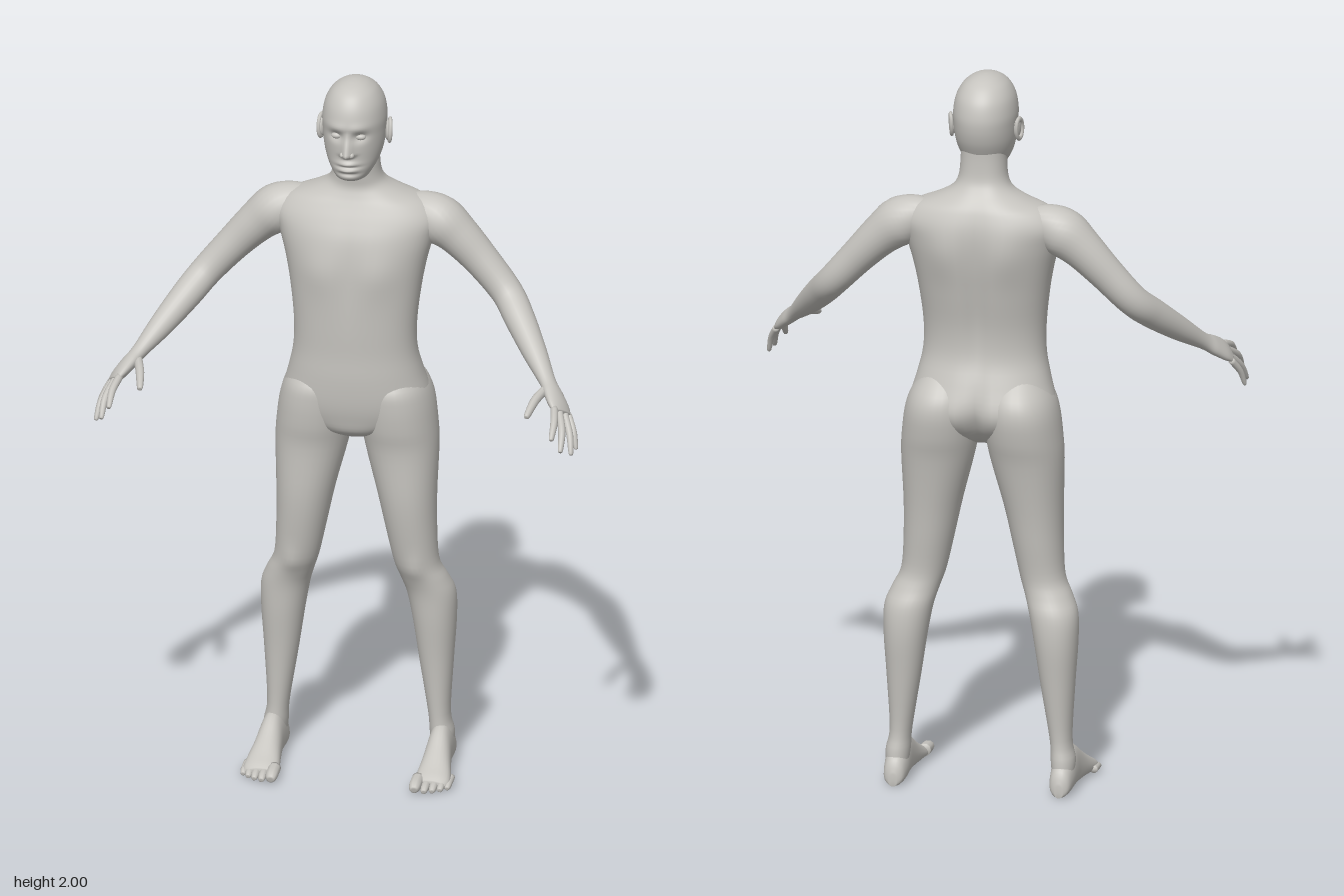
import * as THREE from 'three';

const skin = new THREE.MeshStandardMaterial({ color: 0xc6c4bf });
skin.name = 'warm grey';

const V = (x, y, z) => new THREE.Vector3(x, y, z);
const bump = (d, w) => Math.exp(-(d * d) / (w * w));
const pow = (v, n) => Math.sign(v) * Math.pow(Math.abs(v), 2 / n);

// Catmull-Rom refinement of rows of section data
function refine(rows, k) {
  const out = [], at = i => rows[Math.max(0, Math.min(rows.length - 1, i))];
  for (let i = 0; i < rows.length - 1; i++) {
    for (let j = 0; j < k; j++) {
      const t = j / k;
      out.push(rows[i].map((b, c) => {
        const a = at(i - 1)[c], d = at(i + 1)[c], e = at(i + 2)[c];
        return b + 0.5 * t * (d - a + t * (2 * a - 5 * b + 4 * d - e + t * (3 * (b - d) + e - a)));
      }));
    }
  }
  out.push(rows[rows.length - 1]);
  return out;
}

// Closed skin over rings that turn anticlockwise about their direction; s = -1 mirrors it
function loft(name, rings, s = 1) {
  const n = rings[0].length, pos = [], idx = [];
  const tri = (a, b, c) => (s > 0 ? idx.push(a, b, c) : idx.push(a, c, b));
  rings.forEach(r => r.forEach(p => pos.push(p.x * s, p.y, p.z)));
  for (let i = 0; i < rings.length - 1; i++) {
    for (let j = 0; j < n; j++) {
      const a = i * n + j, b = i * n + (j + 1) % n;
      tri(a, b, b + n);
      tri(a, b + n, a + n);
    }
  }
  [0, rings.length - 1].forEach((ri, end) => {
    const c = rings[ri].reduce((m, p) => m.add(p), V(0, 0, 0)).divideScalar(n);
    const ci = pos.length / 3;
    pos.push(c.x * s, c.y, c.z);
    for (let j = 0; j < n; j++) {
      const a = ri * n + j, b = ri * n + (j + 1) % n;
      end ? tri(ci, a, b) : tri(ci, b, a);
    }
  });
  const g = new THREE.BufferGeometry();
  g.setAttribute('position', new THREE.Float32BufferAttribute(pos, 3));
  g.setIndex(idx);
  g.computeVertexNormals();
  const m = new THREE.Mesh(g, skin);
  m.name = name;
  return m;
}

// Level rings from rows [y, centre x, half width, front z, back z]
function levelRings(rows, n, k, power, shape = () => 0) {
  return refine(rows, k).map(([y, cx, hw, zf, zb]) => Array.from({ length: n }, (_, j) => {
    const t = j / n * Math.PI * 2, sn = -Math.sin(t);
    const x = cx + hw * pow(Math.cos(t), power);
    const z = (zf + zb) / 2 + (zf - zb) / 2 * pow(sn, power);
    return V(x, y, z + shape(x, y, sn));
  }));
}

// Rings square to a path of rows [x, y, z, radius across, radius through]
function pathRings(rows, across, n, k) {
  const r = refine(rows, k), p = r.map(a => V(a[0], a[1], a[2]));
  return r.map((row, i) => {
    const T = p[Math.min(i + 1, p.length - 1)].clone().sub(p[Math.max(i - 1, 0)]).normalize();
    const u = across.clone().addScaledVector(T, -across.dot(T)).normalize();
    const v = T.clone().cross(u);
    return Array.from({ length: n }, (_, j) => {
      const t = j / n * Math.PI * 2;
      return p[i].clone().addScaledVector(u, row[3] * Math.cos(t)).addScaledVector(v, row[4] * Math.sin(t));
    });
  });
}

// Finger or toe with a rounded tip
function digit(name, pts, r, across, s) {
  const [a, b, c] = pts.map(p => V(...p));
  const q = c.clone().lerp(b, 0.12);
  const rows = [[...a, r, r], [...b, r, r * 0.95], [...q, r * 0.72, r * 0.65], [...c, r * 0.25, r * 0.25]];
  return loft(name, pathRings(rows, across, 10, 4), s);
}

function ball(name, x, y, z, rx, ry, rz) {
  const m = new THREE.Mesh(new THREE.SphereGeometry(1, 20, 14).scale(rx, ry, rz), skin);
  m.position.set(x, y, z);
  m.name = name;
  return m;
}

// Chest, shoulder blades and spine
function torsoShape(x, y, f) {
  const ax = Math.abs(x);
  if (f > 0) return f * (0.007 * bump(ax - 0.085, 0.05) * bump(y - 1.46, 0.06) - 0.006 * bump(x, 0.02) * bump(y - 1.45, 0.12));
  return -f * (0.016 * bump(x, 0.028) * bump(y - 1.37, 0.23) + 0.03 * bump(x, 0.018) * bump(y - 1.04, 0.07)
    - 0.01 * bump(ax - 0.09, 0.05) * bump(y - 1.53, 0.07));
}

// Brow, eye sockets, nose, lips and chin
function faceShape(x, y, f) {
  if (f <= 0) return 0;
  const ax = Math.abs(x);
  const ny = y > 1.818 ? Math.max(0, 1 - (y - 1.818) / 0.065) : Math.max(0, 1 - (1.818 - y) / 0.014);
  return f * (0.032 * ny * bump(x, 0.008 + 0.008 * ny)
    - 0.013 * bump(ax - 0.033, 0.02) * bump(y - 1.868, 0.014)
    + 0.004 * bump(ax - 0.03, 0.03) * bump(y - 1.895, 0.012)
    + 0.009 * bump(x, 0.025) * (bump(y - 1.789, 0.007) + bump(y - 1.771, 0.007))
    - 0.005 * bump(x, 0.03) * bump(y - 1.78, 0.004)
    - 0.006 * bump(x, 0.03) * bump(y - 1.759, 0.006));
}

export function createModel() {
  const body = new THREE.Group();
  body.name = 'humanFigure';

  // Torso and neck
  body.add(loft('torso', levelRings([
    [0.965, 0, 0.05, -0.07, -0.15], [0.99, 0, 0.11, -0.03, -0.2], [1.03, 0, 0.18, -0.015, -0.245],
    [1.08, 0, 0.2, -0.005, -0.262], [1.15, 0, 0.183, 0, -0.24], [1.22, 0, 0.168, 0, -0.217],
    [1.3, 0, 0.167, 0.003, -0.217], [1.4, 0, 0.178, 0.005, -0.235], [1.48, 0, 0.193, 0.002, -0.248],
    [1.55, 0, 0.212, -0.01, -0.253], [1.6, 0, 0.222, -0.03, -0.25], [1.64, 0, 0.19, -0.05, -0.238],
    [1.665, 0, 0.13, -0.062, -0.224], [1.69, 0, 0.085, -0.07, -0.205], [1.72, 0, 0.067, -0.067, -0.19],
    [1.77, 0, 0.062, -0.062, -0.185], [1.82, 0, 0.06, -0.07, -0.185],
  ], 56, 4, 2.2, torsoShape)));

  // Head
  body.add(loft('head', levelRings([
    [1.728, 0, 0.022, -0.03, -0.1], [1.737, 0, 0.042, -0.005, -0.13], [1.752, 0, 0.054, 0.006, -0.155],
    [1.775, 0, 0.067, 0.007, -0.172], [1.8, 0, 0.076, 0.007, -0.187], [1.83, 0, 0.082, 0.01, -0.201],
    [1.865, 0, 0.085, 0.013, -0.21], [1.9, 0, 0.086, 0.015, -0.211], [1.94, 0, 0.079, 0.006, -0.2],
    [1.97, 0, 0.063, -0.012, -0.177], [1.988, 0, 0.042, -0.037, -0.15], [1.997, 0, 0.021, -0.065, -0.123],
    [2.0, 0, 0.004, -0.09, -0.1],
  ], 72, 7, 2.1, faceShape)));

  const across = V(-0.53, 0.52, 0.67), sideways = V(1, 0, 0);
  const fingers = [
    ['indexFinger', [0.594, 1.189, 0.16], [0.604, 1.17, 0.215], [0.605, 1.138, 0.264], 0.0105],
    ['middleFinger', [0.605, 1.179, 0.15], [0.624, 1.145, 0.208], [0.628, 1.1, 0.252], 0.0105],
    ['ringFinger', [0.617, 1.167, 0.136], [0.64, 1.125, 0.18], [0.65, 1.078, 0.212], 0.01],
    ['littleFinger', [0.626, 1.157, 0.122], [0.645, 1.12, 0.148], [0.655, 1.076, 0.165], 0.009],
    ['thumb', [0.558, 1.215, 0.09], [0.54, 1.204, 0.155], [0.528, 1.18, 0.218], 0.0125],
  ];

  for (const s of [1, -1]) {
    const side = s > 0 ? 'left' : 'right';

    // Eyes, nostril wings and ears
    body.add(ball(side + 'Eye', s * 0.032, 1.867, -0.007, 0.015, 0.009, 0.011));
    body.add(ball(side + 'NostrilWing', s * 0.012, 1.82, 0.017, 0.008, 0.008, 0.01));
    const ear = new THREE.Group();
    ear.name = side + 'Ear';
    const rim = new THREE.Mesh(new THREE.TorusGeometry(0.02, 0.0055, 8, 24).scale(0.85, 1.45, 1), skin);
    rim.name = 'earRim';
    rim.rotation.y = Math.PI / 2;
    rim.position.x = 0.006;
    ear.add(rim, ball('earBowl', 0, 0, 0, 0.007, 0.028, 0.018));
    ear.position.set(s * 0.088, 1.852, -0.105);
    ear.rotation.set(-0.2, s * 0.3, 0);
    if (s < 0) rim.position.x = -0.006;
    body.add(ear);

    // Arm running into the palm
    body.add(loft(side + 'Arm', pathRings([
      [0.13, 1.607, -0.15, 0.035, 0.045], [0.175, 1.6, -0.15, 0.055, 0.06], [0.225, 1.58, -0.15, 0.066, 0.067],
      [0.275, 1.54, -0.15, 0.058, 0.057], [0.34, 1.473, -0.145, 0.048, 0.048], [0.41, 1.395, -0.127, 0.044, 0.043],
      [0.455, 1.343, -0.075, 0.042, 0.041], [0.51, 1.28, 0, 0.034, 0.033], [0.558, 1.227, 0.068, 0.026, 0.021],
      [0.58, 1.205, 0.1, 0.034, 0.02], [0.6, 1.185, 0.13, 0.04, 0.017], [0.614, 1.17, 0.15, 0.037, 0.01],
    ], across, 24, 5), s));
    for (const [name, a, b, c, r] of fingers) body.add(digit(side + '_' + name, [a, b, c], r, across, s));

    // Leg, with kneecap and calf
    body.add(loft(side + 'Leg', levelRings([
      [0.04, 0.228, 0.028, -0.13, -0.21], [0.09, 0.227, 0.033, -0.115, -0.208], [0.15, 0.22, 0.03, -0.115, -0.2],
      [0.3, 0.212, 0.046, -0.105, -0.214], [0.42, 0.207, 0.059, -0.092, -0.226], [0.5, 0.199, 0.066, -0.085, -0.222],
      [0.55, 0.182, 0.064, -0.075, -0.203], [0.6, 0.163, 0.061, -0.062, -0.193], [0.7, 0.149, 0.069, -0.045, -0.204],
      [0.8, 0.138, 0.08, -0.034, -0.217], [0.93, 0.123, 0.099, -0.03, -0.24], [1.0, 0.115, 0.103, -0.018, -0.258],
      [1.07, 0.109, 0.099, -0.012, -0.267], [1.12, 0.104, 0.086, -0.018, -0.252], [1.17, 0.1, 0.055, -0.06, -0.205],
    ], 32, 4, 2.1, (x, y, f) => (f > 0 ? 0.007 * f * bump(x - 0.168, 0.025) * bump(y - 0.59, 0.035) : 0)), s));

    // Foot from heel to ball, rows [z, centre x, half width, height]
    const foot = refine([
      [-0.228, 0.228, 0.012, 0.035], [-0.215, 0.228, 0.03, 0.07], [-0.18, 0.228, 0.037, 0.1],
      [-0.14, 0.229, 0.038, 0.122], [-0.1, 0.23, 0.039, 0.117], [-0.05, 0.232, 0.045, 0.085],
      [0, 0.234, 0.053, 0.054], [0.03, 0.234, 0.054, 0.038], [0.048, 0.23, 0.046, 0.026],
    ], 4).map(([z, cx, hw, h]) => Array.from({ length: 24 }, (_, j) => {
      const t = j / 24 * Math.PI * 2, up = (1 + pow(Math.sin(t), 2.3)) / 2;
      return V(cx + hw * pow(Math.cos(t), 2.3) * (1 - 0.25 * up), h * up + 0.012 * (1 - up) * bump(z - 0.228, 0.02), z);
    }));
    body.add(loft(side + 'Foot', foot, s));

    // Toes
    [[0.196, 0.088, 0.017], [0.222, 0.085, 0.0115], [0.243, 0.077, 0.011], [0.262, 0.064, 0.0105], [0.279, 0.047, 0.01]]
      .forEach(([x, z, r], i) => body.add(digit(`${side}Toe${i + 1}`,
        [[x, r + 0.006, z - 0.065], [x, r + 0.003, z - 0.022], [x, r * 0.8, z]], r, sideways, s)));
  }
  return body;
}
